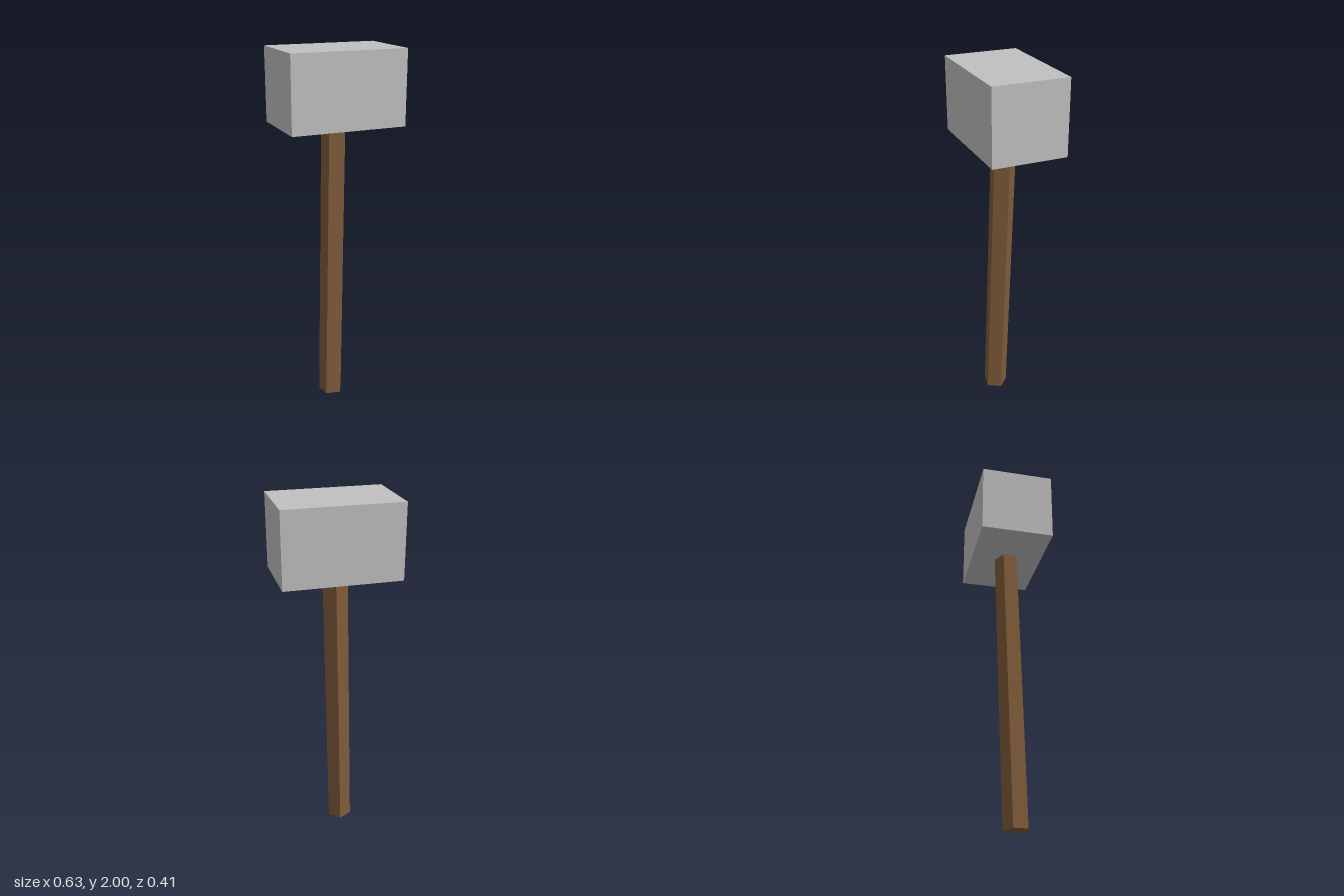
import * as THREE from 'three';

export function createModel() {
  const model = new THREE.Group();
  const stone = new THREE.MeshStandardMaterial({ name: 'grey head', color: 0xc0c0c0 });
  const wood = new THREE.MeshStandardMaterial({ name: 'brown wood', color: 0x805c3a });
  wood.flatShading = true;

  // Block head
  const head = new THREE.Mesh(new THREE.BoxGeometry(0.63, 0.4, 0.405), stone);
  head.name = 'head';
  head.position.y = 1.8;
  model.add(head);

  // Five-sided handle, leaning slightly and ending inside the head
  const foot = new THREE.Vector3(-0.046, 0.002, 0.046);
  const tip = new THREE.Vector3(0, 1.8, 0);
  const axis = tip.clone().sub(foot);
  const handle = new THREE.Mesh(
    new THREE.CylinderGeometry(0.07, 0.07, axis.length(), 5, 1, false, -Math.PI / 4), wood);
  handle.name = 'handle';
  handle.position.copy(foot).add(tip).multiplyScalar(0.5);
  handle.quaternion.setFromUnitVectors(new THREE.Vector3(0, 1, 0), axis.normalize());
  model.add(handle);

  return model;
}
